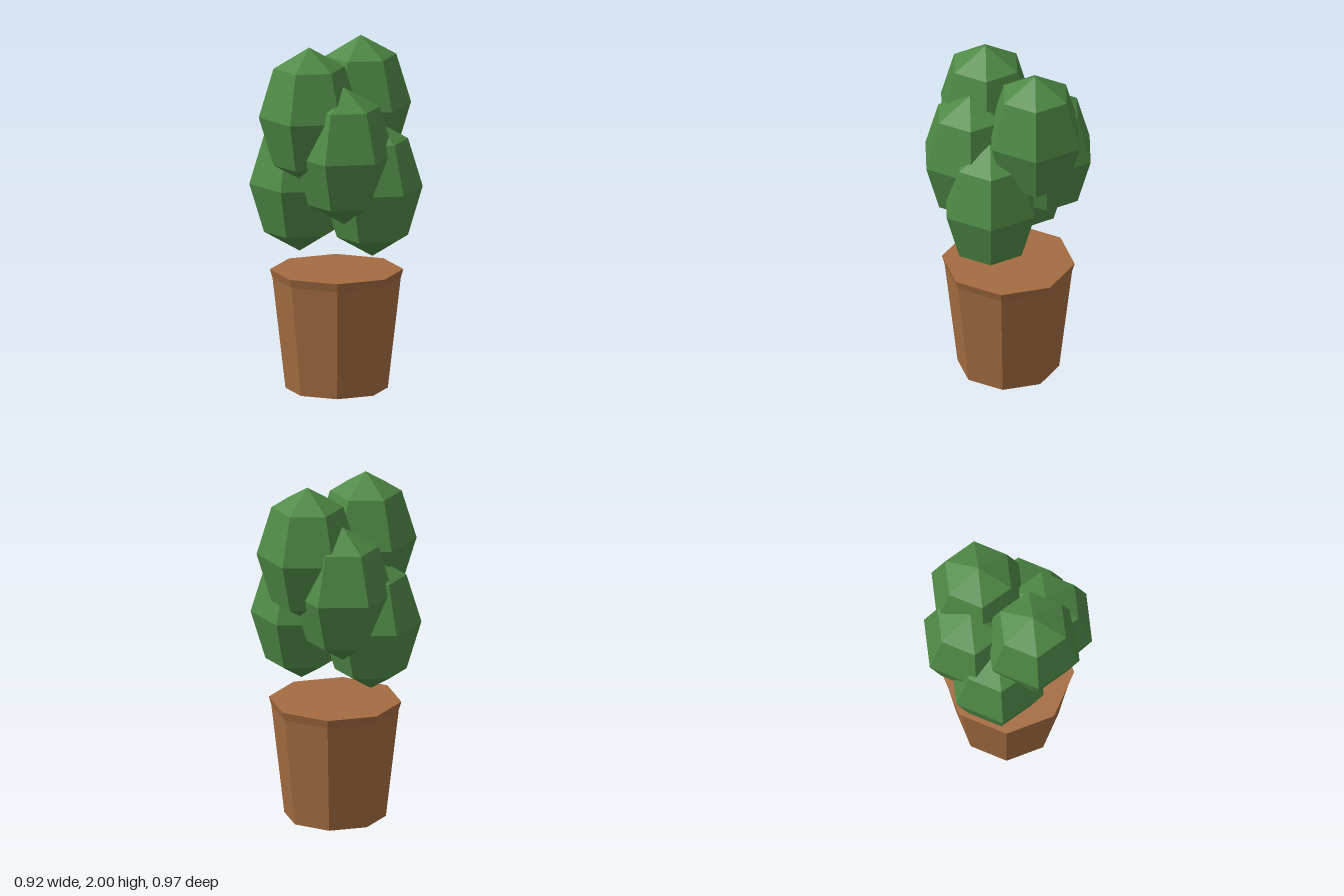
import * as THREE from 'three';

export function createModel() {
  const model = new THREE.Group();
  model.name = 'pottedBush';

  const leafGreen = new THREE.MeshStandardMaterial({ color: 0x4f8a46 });
  leafGreen.name = 'leafGreen';
  leafGreen.flatShading = true;
  const terracotta = new THREE.MeshStandardMaterial({ color: 0xa56c40 });
  terracotta.name = 'terracotta';
  terracotta.flatShading = true;

  // Eight-sided pot with a slightly flared rim, closed top and bottom
  const profile = [[0, 0], [0.288, 0], [0.361, 0.635], [0.376, 0.685], [0, 0.685]]
    .map(([r, y]) => new THREE.Vector2(r, y));
  const pot = new THREE.Mesh(new THREE.LatheGeometry(profile, 8, Math.PI / 8), terracotta);
  pot.name = 'pot';
  pot.position.set(-0.003, 0, 0.005);
  model.add(pot);

  // Six tall, six-sided foliage clumps in three overlapping pairs
  const clumpGeometry = new THREE.SphereGeometry(1, 6, 4);
  clumpGeometry.rotateY(Math.PI / 6);
  clumpGeometry.scale(0.286, 0.395, 0.286);
  const clumps = [
    ['topFrontClump', -0.092, 1.605, 0.2],
    ['topBackClump', 0.06, 1.605, -0.202],
    ['middleFrontClump', 0.115, 1.39, 0.187],
    ['middleBackClump', -0.144, 1.39, -0.16],
    ['lowerRightClump', -0.216, 1.175, 0.034],
    ['lowerLeftClump', 0.213, 1.175, 0.003],
  ];
  for (const [name, x, y, z] of clumps) {
    const clump = new THREE.Mesh(clumpGeometry, leafGreen);
    clump.name = name;
    clump.position.set(x, y, z);
    model.add(clump);
  }

  return model;
}
